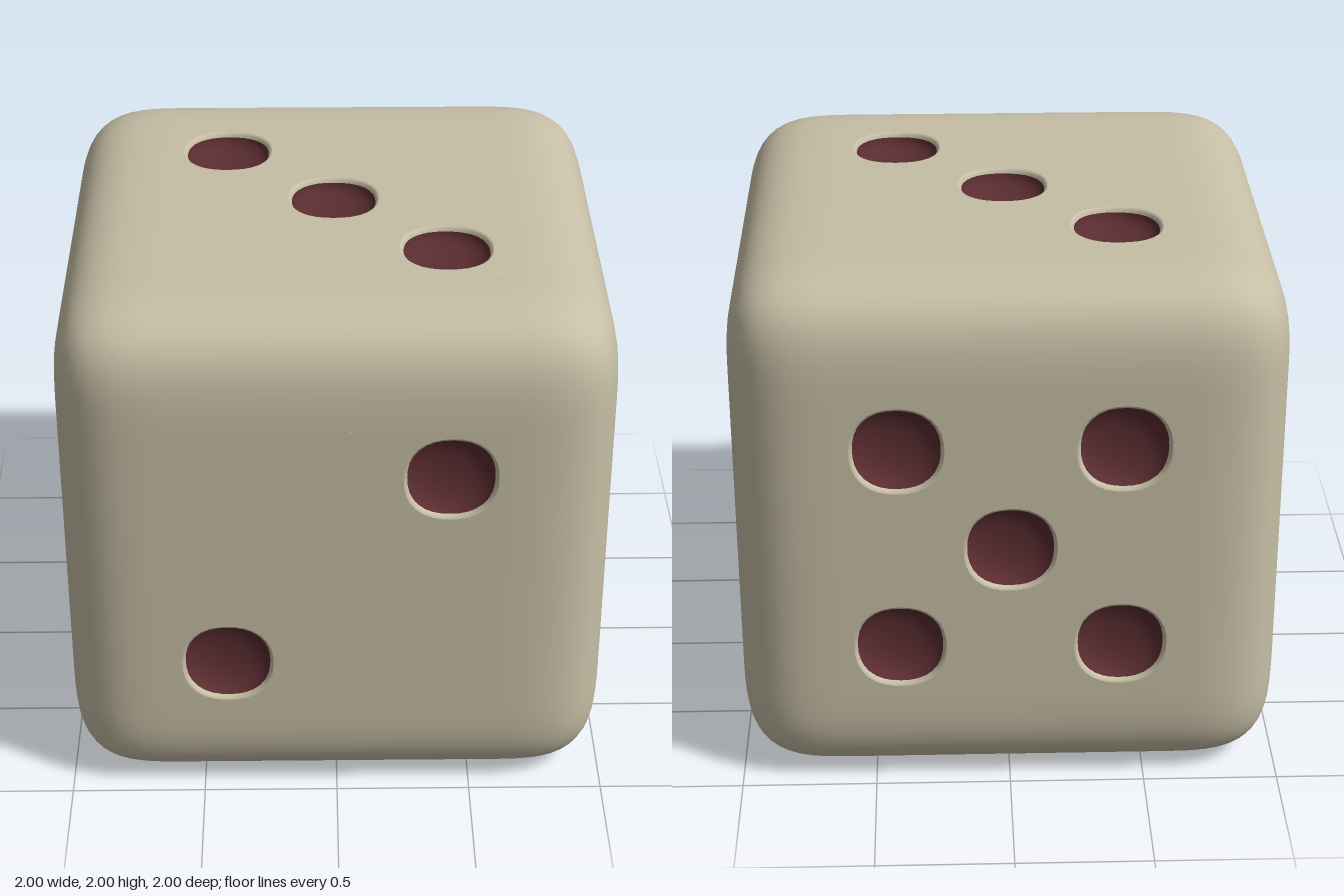
import * as THREE from 'three';
import { mergeGeometries } from 'three/addons/utils/BufferGeometryUtils.js';

const BEND = 0.45;          // width of the soft edge
const POWER = 3.75;         // squareness of the soft edge
const PLATE = 0.6;          // half width of the flat field that carries the pips
const PIP = 0.155;          // pip radius
const LIP = 0.168;          // outer radius of the soft rim around a pip
const SEGMENTS = 32;

const bodyMaterial = new THREE.MeshStandardMaterial({ color: 0xc6bea5 });
const pipMaterial = new THREE.MeshStandardMaterial({ color: 0x5a2c30 });

// Slightly squared circle: radius factor for a direction
function squared(x, y) {
  const n = 2.3, r = Math.hypot(x, y);
  if (r < 1e-6) return 1;
  return Math.pow(Math.abs(x / r) ** n + Math.abs(y / r) ** n, -1 / n);
}

// Soft cube shell, open where the flat fields sit
function shellGeometry() {
  const geo = new THREE.BoxGeometry(2, 2, 2, 28, 28, 28);
  const pos = geo.attributes.position, normal = geo.attributes.normal;
  const spread = t => {
    const a = Math.abs(t);
    return Math.sign(t) * (a <= 0.5 ? a * PLATE * 2 : PLATE + (a - 0.5) * 2 * (1 - PLATE));
  };
  const core = 1 - BEND;
  const grid = [];
  for (let i = 0; i < pos.count; i++) {
    const p = [pos.getX(i), pos.getY(i), pos.getZ(i)].map(spread);
    grid.push(p);
    const c = p.map(v => THREE.MathUtils.clamp(v, -core, core));
    const d = p.map((v, k) => v - c[k]);
    const len = Math.pow(d.reduce((s, v) => s + Math.abs(v) ** POWER, 0), 1 / POWER);
    const q = d.map(v => v * BEND / len);
    pos.setXYZ(i, c[0] + q[0], c[1] + q[1], c[2] + q[2]);
    const g = new THREE.Vector3(...q.map(v => Math.sign(v) * Math.abs(v / BEND) ** (POWER - 1))).normalize();
    normal.setXYZ(i, g.x, g.y, g.z);
  }
  const source = geo.index.array, kept = [];
  for (let i = 0; i < source.length; i += 3) {
    const tri = [source[i], source[i + 1], source[i + 2]];
    const inside = [0, 1, 2].filter(k =>
      Math.abs(tri.reduce((s, v) => s + grid[v][k], 0) / 3) < PLATE).length;
    if (inside < 2) kept.push(...tri);
  }
  geo.setIndex(kept);
  return geo;
}

// Turned surface facing +z, pressed into the squared outline
function turned(points) {
  const geo = new THREE.LatheGeometry(points.map(p => new THREE.Vector2(...p)), SEGMENTS);
  geo.rotateX(Math.PI / 2);
  const pos = geo.attributes.position;
  for (let i = 0; i < pos.count; i++) {
    const x = pos.getX(i), y = pos.getY(i), s = squared(x, y);
    pos.setXY(i, x * s, y * s);
  }
  return geo;
}

// Flat field with a hole for every pip
function plateGeometry(pips) {
  const shape = new THREE.Shape([[-1, -1], [1, -1], [1, 1], [-1, 1]]
    .map(([x, y]) => new THREE.Vector2(x * PLATE, y * PLATE)));
  for (const [px, py] of pips) {
    const ring = [];
    for (let i = 0; i < SEGMENTS; i++) {
      const a = -i / SEGMENTS * Math.PI * 2, x = Math.cos(a), y = Math.sin(a);
      const r = LIP * squared(x, y);
      ring.push(new THREE.Vector2(px + x * r, py + y * r));
    }
    shape.holes.push(new THREE.Path(ring));
  }
  return new THREE.ShapeGeometry(shape);
}

export function createModel() {
  const model = new THREE.Group();
  model.name = 'die';
  const add = (parent, geo, material, name) => {
    const mesh = new THREE.Mesh(geo, material);
    mesh.name = name;
    parent.add(mesh);
    return mesh;
  };

  add(model, shellGeometry(), bodyMaterial, 'body').position.y = 1;

  // Soft rim and dished hollow shared by all pips
  const lip = turned([[LIP, 0], [0.163, -0.002], [0.158, -0.008], [PIP, -0.018]]);
  const dish = [];
  for (let i = 0; i <= 10; i++) {
    const a = i / 10 * Math.PI / 2;
    dish.push([i === 10 ? 0 : PIP * Math.cos(a) ** 0.85, -0.018 - 0.07 * Math.sin(a)]);
  }
  const hollow = turned(dish);

  // Pip layouts on each face, with the rotation that turns +z to the face
  const s = 0.4, H = Math.PI / 2;
  const corners = [[-s, -s], [s, -s], [s, s], [-s, s]];
  const faces = [
    ['rightViewFace', [0, H, 0], [[0, 0]]],
    ['frontFace', [0, 0, 0], [[s, s], [-s, -s]]],
    ['topFace', [-H, 0, 0], [[-s, s], [0, 0], [s, -s]]],
    ['bottomFace', [H, 0, 0], corners],
    ['backFace', [0, Math.PI, 0], [...corners, [0, 0]]],
    ['sixPipFace', [0, -H, 0], [...corners, [-s, 0], [s, 0]]],
  ];
  faces[0][0] = 'leftFace';
  faces[5][0] = 'rightFace';

  for (const [name, rotation, pips] of faces) {
    const face = new THREE.Group();
    face.name = name;
    face.position.y = 1;
    face.rotation.set(...rotation);
    const place = geo => mergeGeometries(pips.map(([x, y]) => geo.clone().translate(x, y, 1)));
    add(face, plateGeometry(pips).translate(0, 0, 1), bodyMaterial, 'flatField');
    add(face, place(lip), bodyMaterial, 'pipRims');
    add(face, place(hollow), pipMaterial, 'pips');
    model.add(face);
  }
  return model;
}
